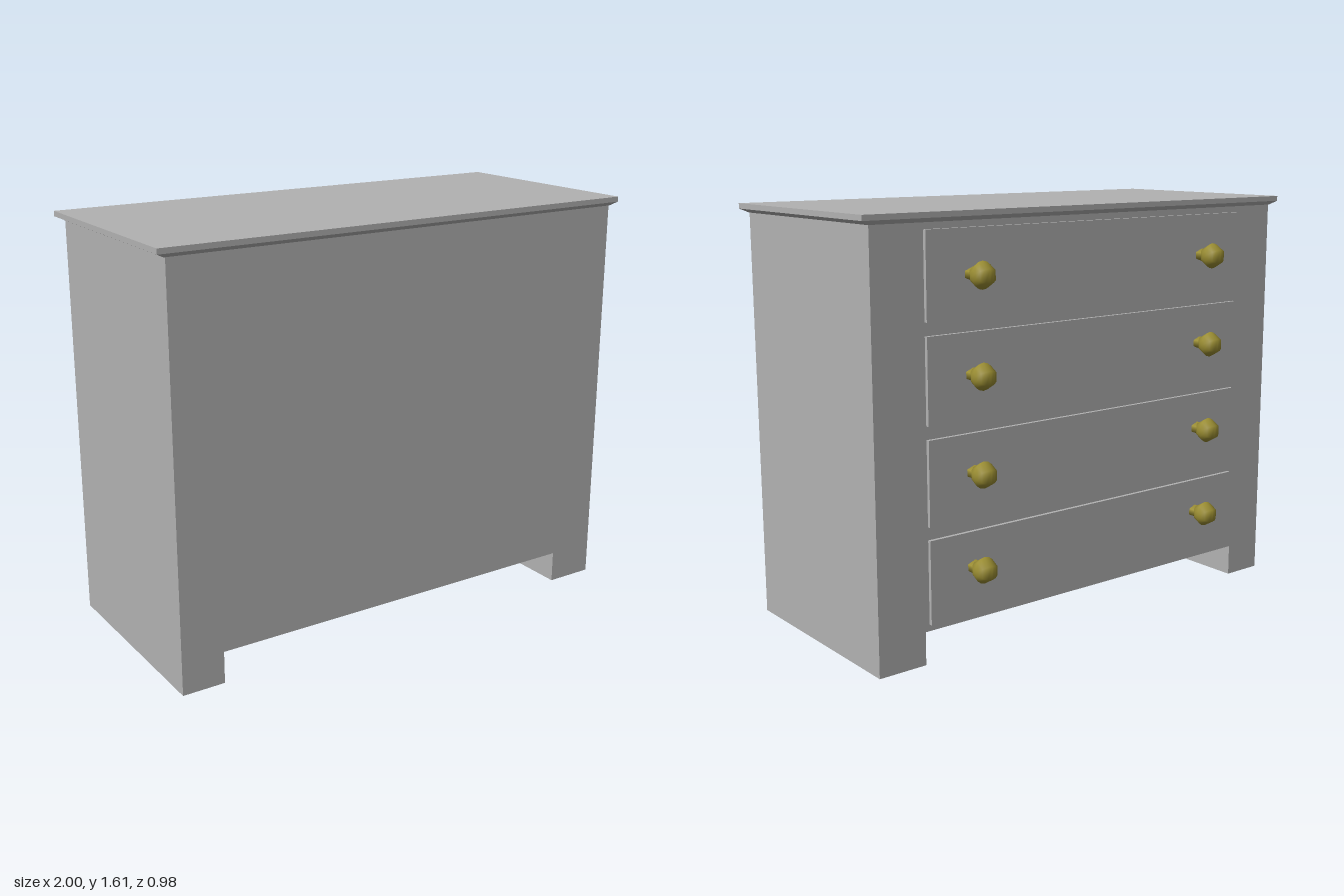
import * as THREE from 'three';

const wood = new THREE.MeshStandardMaterial({ color: 0xb2b2b2 });
wood.name = 'grey paint';
const brass = new THREE.MeshStandardMaterial({ color: 0x9a8d32 });
brass.name = 'brass';

function part(name, geometry, material, x = 0, y = 0, z = 0) {
  const mesh = new THREE.Mesh(geometry, material);
  mesh.name = name;
  mesh.position.set(x, y, z);
  return mesh;
}

// Block given by its lower and upper corners
function block(name, x0, y0, z0, x1, y1, z1) {
  const g = new THREE.BoxGeometry(x1 - x0, y1 - y0, z1 - z0);
  return part(name, g, wood, (x0 + x1) / 2, (y0 + y1) / 2, (z0 + z1) / 2);
}

// Six-sided rounded knob on a short stem, pointing to -z
function makeKnob(x, y) {
  const knob = new THREE.Group();
  knob.name = 'knob';
  const ball = new THREE.SphereGeometry(0.05, 6, 8);
  ball.rotateZ(Math.PI / 2);
  ball.scale(0.92, 1, 1);
  knob.add(part('knobHead', ball, brass, 0, 0, -0.445));
  const stem = new THREE.CylinderGeometry(0.025, 0.025, 0.06, 6);
  stem.rotateX(Math.PI / 2);
  stem.scale(1.45, 1, 1);
  knob.add(part('knobStem', stem, brass, 0, 0, -0.4));
  knob.position.set(x, y, 0);
  return knob;
}

export function createModel() {
  const model = new THREE.Group();
  model.name = 'chestOfDrawers';

  // Carcass with two full-depth feet
  const outline = new THREE.Shape([
    [-0.965, 0], [-0.797, 0], [-0.797, 0.125], [0.77, 0.125],
    [0.77, 0], [0.965, 0], [0.965, 1.578], [-0.965, 1.578],
  ].map(([x, y]) => new THREE.Vector2(x, y)));
  const carcass = new THREE.ExtrudeGeometry(outline, { depth: 0.847, bevelEnabled: false });
  model.add(part('carcass', carcass, wood, 0, 0, -0.372));

  // Top board over a moulding that narrows downwards
  model.add(block('topBoard', -1, 1.59, -0.39, 1, 1.61, 0.49));
  const moulding = block('topMoulding', -1, 1.575, -0.39, 1, 1.59, 0.49);
  const p = moulding.geometry.attributes.position;
  for (let i = 0; i < p.count; i++) {
    if (p.getY(i) < 0) {
      p.setX(i, p.getX(i) * 0.968);
      p.setZ(i, p.getZ(i) * 0.964);
    }
  }
  moulding.geometry.computeVertexNormals();
  model.add(moulding);

  // Four drawers, each with a pair of knobs
  for (let i = 0; i < 4; i++) {
    const y = 0.15 + i * 0.3625;
    model.add(block('drawerFront', -0.77, y, -0.386, 0.753, y + 0.314, -0.37));
    for (const x of [-0.565, 0.56]) model.add(makeKnob(x, 0.332 + i * 0.353));
  }
  return model;
}
